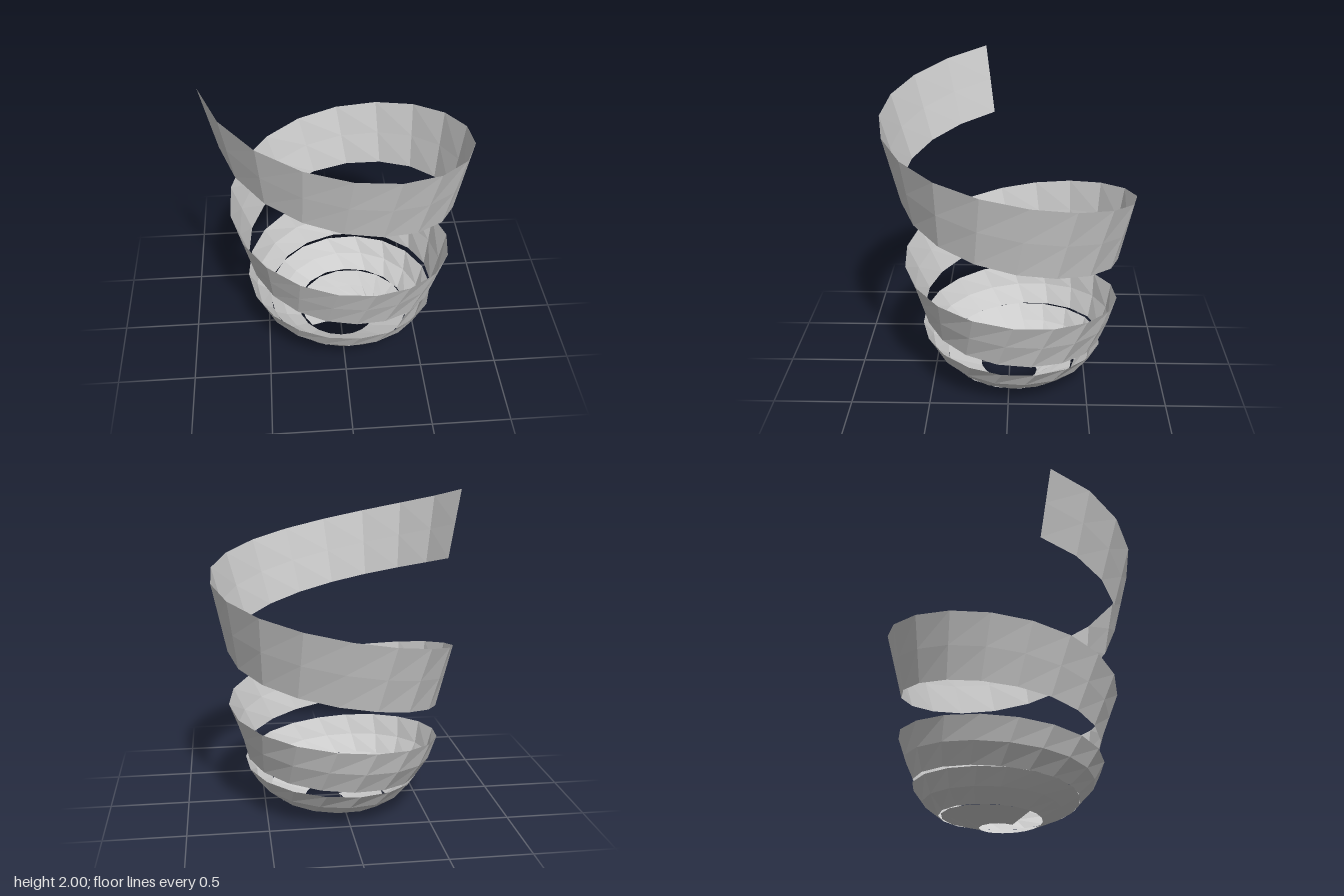
import * as THREE from 'three';

// One row per quarter turn, winding down from the top: [height, radius, x of centre].
// Turn 0 points left (-x), then front, right, back.
const UPPER = [
  [2.04, 0.845], [1.755, 0.8], [1.5, 0.82], [1.24, 0.8],
  [1.02, 0.71], [0.83, 0.68], [0.68, 0.72], [0.55, 0.7],
  [0.44, 0.62], [0.36, 0.575], [0.29, 0.62], [0.235, 0.6],
  [0.19, 0.48], [0.135, 0.42], [0.09, 0.46], [0.06, 0.415],
  [0.035, 0.255], [0.02, 0.17],
];
const LOWER = [
  [1.59, 0.745], [1.31, 0.69], [1.04, 0.72], [0.82, 0.695],
  [0.63, 0.605], [0.48, 0.56], [0.355, 0.615], [0.265, 0.595],
  [0.19, 0.48], [0.135, 0.42], [0.09, 0.46], [0.06, 0.43],
  [0.03, 0.27], [0.015, 0.19, 0.05], [0.008, 0.13, 0.1], [0.004, 0.185, 0.1],
  [0, 0.1, 0.1], [0, 0, 0.1],
];
const STEPS = 74; // about 18 panels per turn
const ROWS = 2; // panels across the ribbon

// Smooth edge of the ribbon, returning a point for a given number of turns
function makeEdge(rows) {
  const curve = new THREE.CatmullRomCurve3(
    rows.map(([y, r, cx = 0]) => new THREE.Vector3(cx, y, r)), false, 'catmullrom', 0.5);
  return (turns) => {
    const p = curve.getPoint((turns * 4) / (rows.length - 1));
    const a = Math.PI * (1 - 2 * turns);
    return new THREE.Vector3(p.x + p.z * Math.cos(a), Math.max(0, p.y), p.z * Math.sin(a));
  };
}

// Ribbon lofted between its two edges, bulging slightly where it forms the bowl
function ribbonGeometry() {
  const upper = makeEdge(UPPER);
  const lower = makeEdge(LOWER);
  const positions = [];
  const index = [];
  for (let i = 0; i <= STEPS; i++) {
    const s = i / STEPS;
    const a = upper(THREE.MathUtils.lerp(0.034, 4.074, s));
    const b = lower(THREE.MathUtils.lerp(0.026, 4.02, s));
    const bulge = 0.018 * THREE.MathUtils.smoothstep(s, 0.36, 0.5)
      * (1 - THREE.MathUtils.smoothstep(s, 0.7, 0.8));
    for (let j = 0; j <= ROWS; j++) {
      const v = j / ROWS;
      const p = a.clone().lerp(b, v);
      const push = bulge * Math.sin(Math.PI * v);
      const r = Math.hypot(p.x, p.z) || 1;
      positions.push(p.x * (1 + push / r), p.y - push * 0.6, p.z * (1 + push / r));
      if (i < STEPS && j < ROWS) {
        const k = i * (ROWS + 1) + j;
        const n = k + ROWS + 1;
        index.push(k, k + 1, n, k + 1, n + 1, n);
      }
    }
  }
  const geometry = new THREE.BufferGeometry();
  geometry.setAttribute('position', new THREE.Float32BufferAttribute(positions, 3));
  geometry.setIndex(index);
  geometry.computeVertexNormals();
  return geometry;
}

export function createModel() {
  const group = new THREE.Group();
  group.name = 'spiralPeel';
  const ribbon = new THREE.Mesh(ribbonGeometry(), new THREE.MeshStandardMaterial({
    color: 0xcccccc, flatShading: true, side: THREE.DoubleSide,
  }));
  ribbon.name = 'peelRibbon';
  group.add(ribbon);
  return group;
}
